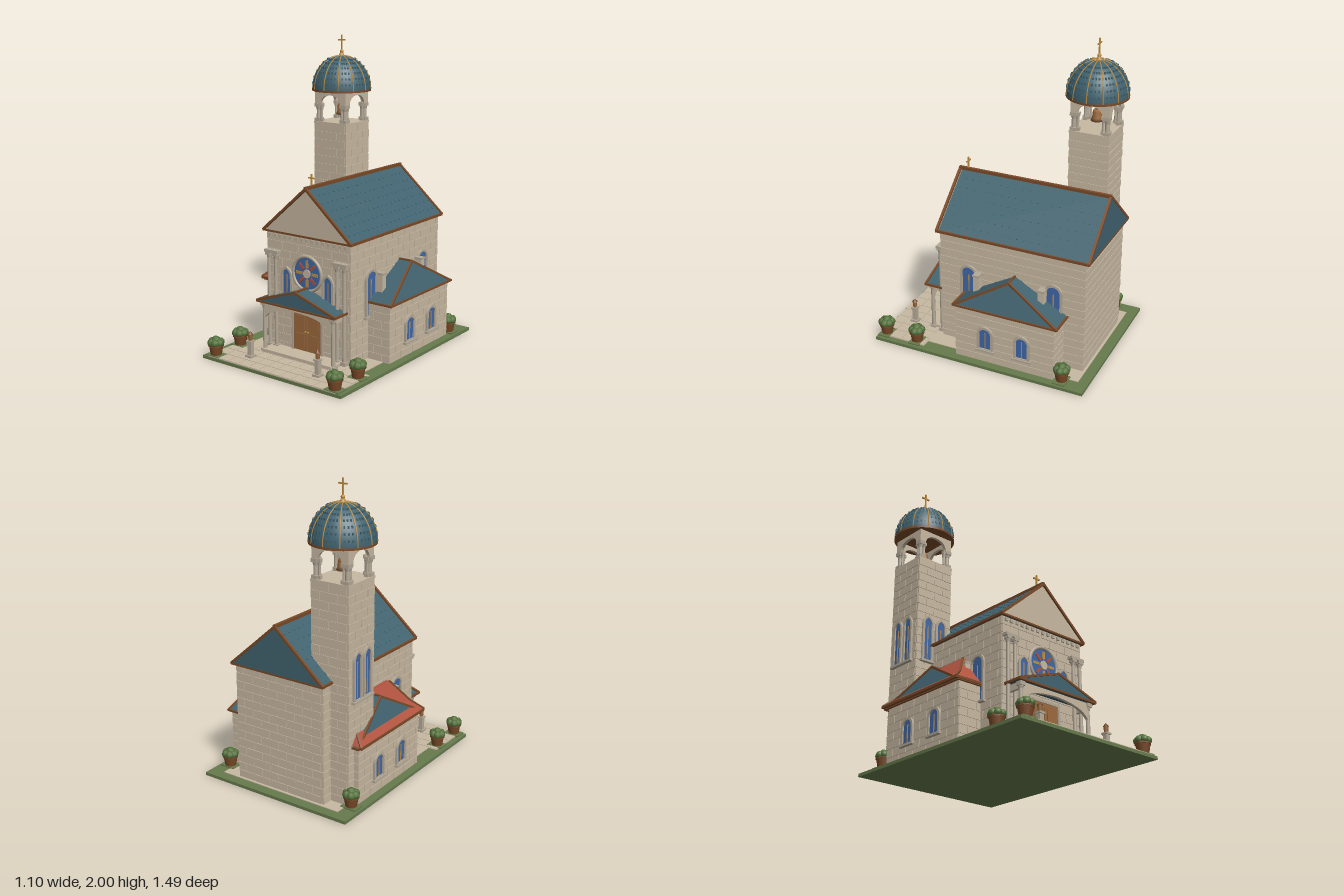
import * as THREE from 'three';
import { mergeGeometries } from 'three/addons/utils/BufferGeometryUtils.js';
import { ConvexGeometry } from 'three/addons/geometries/ConvexGeometry.js';

const paint = (name, color) => Object.assign(new THREE.MeshStandardMaterial({ color }), { name });
const stone = paint('stone', 0xc8b9a2), pale = paint('pale stone', 0xb5aa98);
const slate = paint('blue slate', 0x41636f), red = paint('red tile', 0xb0533f);
const trim = paint('brown trim', 0x7a4a28), wood = paint('door wood', 0x9c6a3e);
const glass = paint('blue glass', 0x4068a8), gold = paint('gold', 0xc08f45);
const grass = paint('grass', 0x667a4c), leaf = paint('leaf', 0x53703a);
const V = (x, y, z) => new THREE.Vector3(x, y, z);

export function createModel() {
  const root = new THREE.Group();
  const add = (name, geo, mat, x = 0, y = 0, z = 0, parent = root) => {
    const m = new THREE.Mesh(geo, mat);
    m.name = name;
    m.position.set(x, y, z);
    parent.add(m);
    return m;
  };
  const box = (name, mat, w, h, d, x, y, z, parent) => add(name, new THREE.BoxGeometry(w, h, d), mat, x, y, z, parent);
  const cyl = (name, mat, r1, r2, h, x, y, z, parent, n = 14) => add(name, new THREE.CylinderGeometry(r1, r2, h, n), mat, x, y, z, parent);
  const group = (name, x, y, z, turn = 0) => {
    const g = new THREE.Group();
    g.name = name;
    g.position.set(x, y, z);
    g.rotation.y = turn;
    root.add(g);
    return g;
  };
  const extrude = (shape, depth) => new THREE.ExtrudeGeometry(shape, { depth, bevelEnabled: false, curveSegments: 14 });
  // square bar from a to b
  const bar = (name, a, b, t = 0.016, mat = trim) => {
    const m = box(name, mat, t, t, a.distanceTo(b) + t * 0.6, 0, 0, 0);
    m.position.copy(a).lerp(b, 0.5);
    m.lookAt(b);
  };

  // Block-built volume: a box with staggered raised courses on its four sides
  function masonry(name, x, z, w, d, y0, y1) {
    box(name, stone, w, y1 - y0, d, x, (y0 + y1) / 2, z);
    [[w, d], [d, w], [w, d], [d, w]].forEach(([width, depth], side) => {
      const parts = [], rows = Math.round((y1 - y0) / 0.055), h = (y1 - y0) / rows;
      for (let r = 0; r < rows; r++) {
        for (let u = -width / 2 - (r % 2) * 0.065; u < width / 2 - 0.01; u += 0.13) {
          const a = Math.max(u, -width / 2), b = Math.min(u + 0.124, width / 2);
          if (b - a < 0.01) continue;
          parts.push(new THREE.BoxGeometry(b - a, h - 0.006, 0.008).translate((a + b) / 2, y0 + (r + 0.5) * h, depth / 2));
        }
      }
      add(name + 'Blocks', mergeGeometries(parts), stone, x, 0, z).rotation.y = side * Math.PI / 2;
    });
  }

  function archShape(w, h, pointed) {
    const s = new THREE.Shape(), r = w / 2, spring = h - (pointed ? r * 1.5 : r);
    s.moveTo(-r, 0).lineTo(r, 0).lineTo(r, spring);
    if (pointed) s.quadraticCurveTo(r, h - r * 0.5, 0, h).quadraticCurveTo(-r, h - r * 0.5, -r, spring);
    else s.absarc(0, spring, r, 0, Math.PI);
    return s;
  }
  function archWindow(x, y, z, turn, w, h, pointed = false) {
    const g = group('archedWindow', x, y, z, turn), f = 0.016;
    const frame = archShape(w + 2 * f, h + 2 * f, pointed);
    const hole = new THREE.Path(archShape(w, h, pointed).getPoints(14).map(p => p.add(new THREE.Vector2(0, f))));
    frame.holes.push(hole);
    add('windowFrame', extrude(frame, 0.018), pale, 0, -f, 0, g);
    add('windowGlass', extrude(archShape(w, h, pointed), 0.008), glass, 0, 0, 0, g);
    box('windowMullion', gold, 0.007, h * 0.78, 0.004, 0, h * 0.42, 0.01, g);
    box('windowSill', pale, w + 0.05, 0.014, 0.028, 0, -0.012, 0.012, g);
  }
  function column(x, z, y0, y1, r = 0.013) {
    const g = group('column', x, 0, z);
    cyl('columnShaft', pale, r * 0.88, r, y1 - y0, 0, (y0 + y1) / 2, 0, g);
    for (const y of [y0 + 0.012, y1 - 0.012]) box('columnBlock', pale, r * 2.8, 0.024, r * 2.8, 0, y, 0, g);
    cyl('columnCollar', pale, r * 1.3, r, 0.02, 0, y1 - 0.034, 0, g);
  }
  function cross(x, y, z, h, w) {
    box('crossPost', gold, 0.009, h, 0.009, x, y + h / 2, z);
    box('crossArm', gold, w, 0.009, 0.009, x, y + h * 0.7, z);
  }

  // Ground and paving
  box('lawn', grass, 1.1, 0.02, 1.48, 0, 0.01, -0.005);
  box('pavingBack', stone, 0.9, 0.006, 1.08, 0, 0.022, -0.14);
  box('pavingFront', stone, 1.02, 0.006, 0.34, 0, 0.022, 0.56);
  const tiles = [];
  for (let i = 0; i < 12; i++) for (let j = 0; j < 4; j++)
    tiles.push(new THREE.BoxGeometry(0.079, 0.004, 0.079).translate((i - 5.5) * 0.085, 0.026, 0.433 + j * 0.085));
  add('pavingTiles', mergeGeometries(tiles), stone);

  // Main hall and roof
  masonry('hall', 0, -0.16, 0.66, 1.0, 0.02, 0.8);
  const gable = (w, y0, y1) => new THREE.Shape([[-w, y0], [w, y0], [0, y1]].map(p => new THREE.Vector2(...p)));
  add('hallRoof', extrude(gable(0.35, 0.805, 1.11), 1.035), slate, 0, 0, -0.69);
  add('pediment', extrude(gable(0.335, 0.805, 1.095), 0.01), stone, 0, 0, 0.348);
  bar('roofRidge', V(0, 1.112, -0.685), V(0, 1.112, 0.36), 0.02);
  bar('pedimentBase', V(-0.34, 0.803, 0.357), V(0.34, 0.803, 0.357), 0.012);
  bar('backEave', V(-0.34, 0.803, -0.685), V(0.34, 0.803, -0.685), 0.012);
  for (const s of [-1, 1]) {
    bar('roofEave', V(s * 0.345, 0.805, -0.685), V(s * 0.345, 0.805, 0.36));
    for (const z of [-0.685, 0.36]) bar('roofRake', V(s * 0.345, 0.808, z), V(0, 1.11, z));
    // small raised slates
    const bits = [];
    for (let i = 1; i < 7; i++) for (let j = 0; j < 20; j++) {
      const t = i / 7;
      bits.push(new THREE.BoxGeometry(0.012, 0.005, 0.012).rotateZ(-s * 0.717)
        .translate(s * 0.35 * (1 - t), 0.805 + 0.305 * t, -0.66 + (j + (i % 2) / 2) * 0.05));
    }
    add('roofSlates', mergeGeometries(bits), slate);
  }
  for (let i = -7; i <= 7; i++) box('cornicePiece', pale, 0.02, 0.02, 0.016, i * 0.043, 0.778, 0.346);
  cross(0, 1.11, 0.3, 0.085, 0.05);

  // Front: rose window, side lights, twin columns, doors
  const rose = group('roseWindow', 0, 0.565, 0.34);
  cyl('roseGlass', glass, 0.11, 0.11, 0.018, 0, 0, 0, rose, 32).rotation.x = Math.PI / 2;
  add('roseFrame', new THREE.TorusGeometry(0.112, 0.011, 8, 36), pale, 0, 0, 0.008, rose);
  for (let i = 0; i < 8; i++) {
    const a = i * Math.PI / 4;
    const spoke = box('roseSpoke', i % 2 ? red : gold, 0.018, 0.05, 0.005, Math.sin(a) * 0.062, Math.cos(a) * 0.062, 0.011, rose);
    spoke.rotation.z = -a;
  }
  cyl('roseCentre', stone, 0.028, 0.028, 0.008, 0, 0, 0.012, rose, 20).rotation.x = Math.PI / 2;
  for (const s of [-1, 1]) {
    archWindow(s * 0.165, 0.39, 0.34, 0, 0.06, 0.18, true);
    for (const x of [0.245, 0.3]) column(s * x, 0.362, 0.03, 0.67);
    box('columnCap', pale, 0.11, 0.018, 0.045, s * 0.272, 0.673, 0.358);
    box('doorLeaf', wood, 0.107, 0.27, 0.016, s * 0.0545, 0.185, 0.345);
    for (const y of [0.12, 0.24]) box('doorPanel', wood, 0.07, 0.09, 0.006, s * 0.055, y, 0.355);
    cyl('doorKnob', gold, 0.006, 0.006, 0.012, s * 0.012, 0.18, 0.357).rotation.x = Math.PI / 2;
    box('doorJamb', pale, 0.016, 0.29, 0.024, s * 0.117, 0.185, 0.346);
  }
  box('doorLintel', pale, 0.25, 0.016, 0.024, 0, 0.328, 0.346);
  box('doorStep', stone, 0.56, 0.025, 0.13, 0, 0.034, 0.405);

  // Porch
  add('porchRoof', extrude(gable(0.31, 0.365, 0.47), 0.13), slate, 0, 0, 0.345);
  const arch = new THREE.Shape().moveTo(-0.27, 0.36).lineTo(-0.27, 0.25).quadraticCurveTo(-0.22, 0.33, 0, 0.335)
    .quadraticCurveTo(0.22, 0.33, 0.27, 0.25).lineTo(0.27, 0.36);
  add('porchArch', extrude(arch, 0.02), stone, 0, 0, 0.432);
  bar('porchRidge', V(0, 0.472, 0.35), V(0, 0.472, 0.475), 0.014);
  bar('porchFrontEave', V(-0.31, 0.364, 0.475), V(0.31, 0.364, 0.475), 0.012);
  for (const s of [-1, 1]) {
    column(s * 0.275, 0.442, 0.02, 0.36, 0.014);
    box('porchBeam', stone, 0.02, 0.04, 0.1, s * 0.275, 0.34, 0.39);
    bar('porchRake', V(s * 0.31, 0.37, 0.475), V(0, 0.472, 0.475), 0.013);
    bar('porchEave', V(s * 0.31, 0.367, 0.35), V(s * 0.31, 0.367, 0.475), 0.014);
  }

  // Side wings with hipped roofs, wall posts and windows
  for (const s of [-1, 1]) {
    const turn = s * Math.PI / 2;
    masonry('wing', s * 0.405, -0.185, 0.18, 0.68, 0.02, 0.4);
    const [a, b, c, d] = [[0.51, 0.4, 0.165], [0.51, 0.4, -0.55], [0.43, 0.6, -0.19], [0.32, 0.6, -0.19]].map(p => V(s * p[0], p[1], p[2]));
    add('wingRoof', new ConvexGeometry([a, b, c, d, V(s * 0.32, 0.4, 0.165), V(s * 0.32, 0.4, -0.55)]), slate);
    for (const [p, q] of [[a, b], [a, c], [b, c], [c, d], [a, V(s * 0.33, 0.4, 0.165)], [b, V(s * 0.33, 0.4, -0.55)]]) bar('wingTrim', p, q, 0.013);
    for (const z of [-0.06, -0.315]) archWindow(s * 0.495, 0.125, z, turn, 0.08, 0.145);
    archWindow(s * 0.33, 0.31, 0.135, turn, 0.09, 0.28);
    if (s > 0) archWindow(0.33, 0.31, -0.455, turn, 0.09, 0.28);
    for (const z of s > 0 ? [0.06, -0.39] : [0.06]) {
      box('wallPost', stone, 0.05, 0.54, 0.04, s * 0.362, 0.29, z);
      box('wallPostCap', pale, 0.056, 0.014, 0.046, s * 0.364, 0.565, z);
    }
  }
  // Red tiled lean-to roof over the right wing, with a flared eave
  const slope = [[-0.53, 0.415, 0.17], [-0.46, 0.475, 0.115], [-0.36, 0.615, 0.02]];
  for (let i = 0; i < 2; i++) {
    const pts = [];
    for (const [x, y, z] of [slope[i], slope[i + 1]]) pts.push(V(x, y, z), V(x, y, -0.38 - z), V(-0.33, y, z), V(-0.33, y, -0.38 - z));
    add('redRoof', new ConvexGeometry(pts), red);
    for (const f of [z => z, z => -0.38 - z])
      bar('redRoofHip', V(slope[i][0], slope[i][1], f(slope[i][2])), V(slope[i + 1][0], slope[i + 1][1], f(slope[i + 1][2])), 0.012);
  }
  bar('redRoofEave', V(-0.528, 0.408, 0.168), V(-0.528, 0.408, -0.548), 0.016);
  bar('redRoofFrontEave', V(-0.528, 0.408, 0.168), V(-0.34, 0.408, 0.168), 0.016);

  // Bell tower
  const tx = -0.328, tz = -0.452;
  masonry('tower', tx, tz, 0.264, 0.264, 0.02, 1.41);
  for (const o of [-0.052, 0.052]) {
    archWindow(tx + o, 0.7, tz + 0.132, 0, 0.056, 0.29, true);
    archWindow(tx - 0.132, 0.7, tz + o, -Math.PI / 2, 0.056, 0.29, true);
  }
  box('belfryFloor', stone, 0.272, 0.014, 0.272, tx, 1.41, tz);
  const opening = new THREE.Shape().moveTo(-0.13, 1.625).lineTo(-0.13, 1.53).lineTo(-0.085, 1.53)
    .quadraticCurveTo(-0.08, 1.598, 0, 1.6).quadraticCurveTo(0.08, 1.598, 0.085, 1.53).lineTo(0.13, 1.53).lineTo(0.13, 1.625);
  for (let i = 0; i < 4; i++) {
    const side = group('belfrySide', tx, 0, tz, i * Math.PI / 2);
    add('belfryArch', extrude(opening, 0.02), stone, 0, 0, 0.11, side);
    const px = i % 2 ? 1 : -1, pz = i < 2 ? 1 : -1;
    column(tx + px * 0.112, tz + pz * 0.112, 1.415, 1.54, 0.015);
    column(tx + px * 0.085, tz + pz * 0.112, 1.415, 1.54, 0.009);
    column(tx + px * 0.112, tz + pz * 0.085, 1.415, 1.54, 0.009);
  }
  const bell = [[0, 0.075], [0.022, 0.074], [0.028, 0.06], [0.031, 0.02], [0.04, 0], [0, 0.004]].reverse().map(p => new THREE.Vector2(...p));
  add('bell', new THREE.LatheGeometry(bell, 20), wood, tx, 1.46, tz);
  cyl('bellRod', trim, 0.005, 0.005, 0.1, tx, 1.58, tz);

  // Dome with ribs, small tiles, finial and cross
  cyl('domeRim', trim, 0.202, 0.202, 0.014, tx, 1.632, tz, root, 40);
  add('dome', new THREE.SphereGeometry(0.2, 40, 14, 0, Math.PI * 2, 0, Math.PI / 2).scale(1, 1.13, 1), slate, tx, 1.637, tz);
  const domePoint = (t, a) => V(0.2 * Math.cos(t) * Math.cos(a), 0.226 * Math.sin(t), 0.2 * Math.cos(t) * Math.sin(a));
  const domeTiles = [];
  for (let i = 0; i < 12; i++) {
    const a = i * Math.PI / 6;
    const path = new THREE.CatmullRomCurve3([0, 1, 2, 3, 4, 5, 6].map(k => domePoint(k * Math.PI / 12.2, a)));
    add('domeRib', new THREE.TubeGeometry(path, 16, 0.004, 5), gold, tx, 1.637, tz);
    for (let j = 1; j < 7; j++) for (const o of [0.13, 0.26, 0.39]) {
      const p = domePoint(j * 0.18, a + o);
      domeTiles.push(new THREE.BoxGeometry(0.01, 0.014, 0.01).rotateY(-a - o).translate(p.x, p.y, p.z));
    }
  }
  add('domeTiles', mergeGeometries(domeTiles), slate, tx, 1.637, tz);
  cyl('finial', gold, 0.006, 0.022, 0.035, tx, 1.875, tz);
  add('finialBall', new THREE.SphereGeometry(0.013, 12, 8), gold, tx, 1.89, tz);
  cross(tx, 1.89, tz, 0.11, 0.06);

  // Potted shrubs and lantern posts
  for (const s of [-1, 1]) {
    for (const [x, z] of [[0.475, 0.46], [0.475, 0.69], [0.48, -0.58]]) {
      box('grassPatch', grass, 0.11, 0.008, 0.08, s * x, 0.026, z);
      const g = group('pottedShrub', s * x, 0.02, z);
      cyl('pot', trim, 0.047, 0.034, 0.075, 0, 0.0375, 0, g);
      cyl('potRim', trim, 0.05, 0.05, 0.012, 0, 0.072, 0, g);
      for (let i = 0; i < 6; i++)
        add('foliage', new THREE.IcosahedronGeometry(0.027, 1), leaf, Math.cos(i * 1.047) * 0.03, 0.09, Math.sin(i * 1.047) * 0.03, g);
      add('foliageTop', new THREE.IcosahedronGeometry(0.03, 1), leaf, 0, 0.103, 0, g);
    }
    const g = group('lanternPost', s * 0.27, 0.02, 0.59);
    box('postBase', pale, 0.05, 0.02, 0.05, 0, 0.012, 0, g);
    box('postShaft', pale, 0.03, 0.09, 0.03, 0, 0.065, 0, g);
    box('postCap', pale, 0.042, 0.012, 0.042, 0, 0.112, 0, g);
    cyl('lantern', wood, 0.016, 0.012, 0.04, 0, 0.138, 0, g, 8);
    cyl('lanternTop', trim, 0.002, 0.019, 0.02, 0, 0.168, 0, g, 8);
  }
  return root;
}
